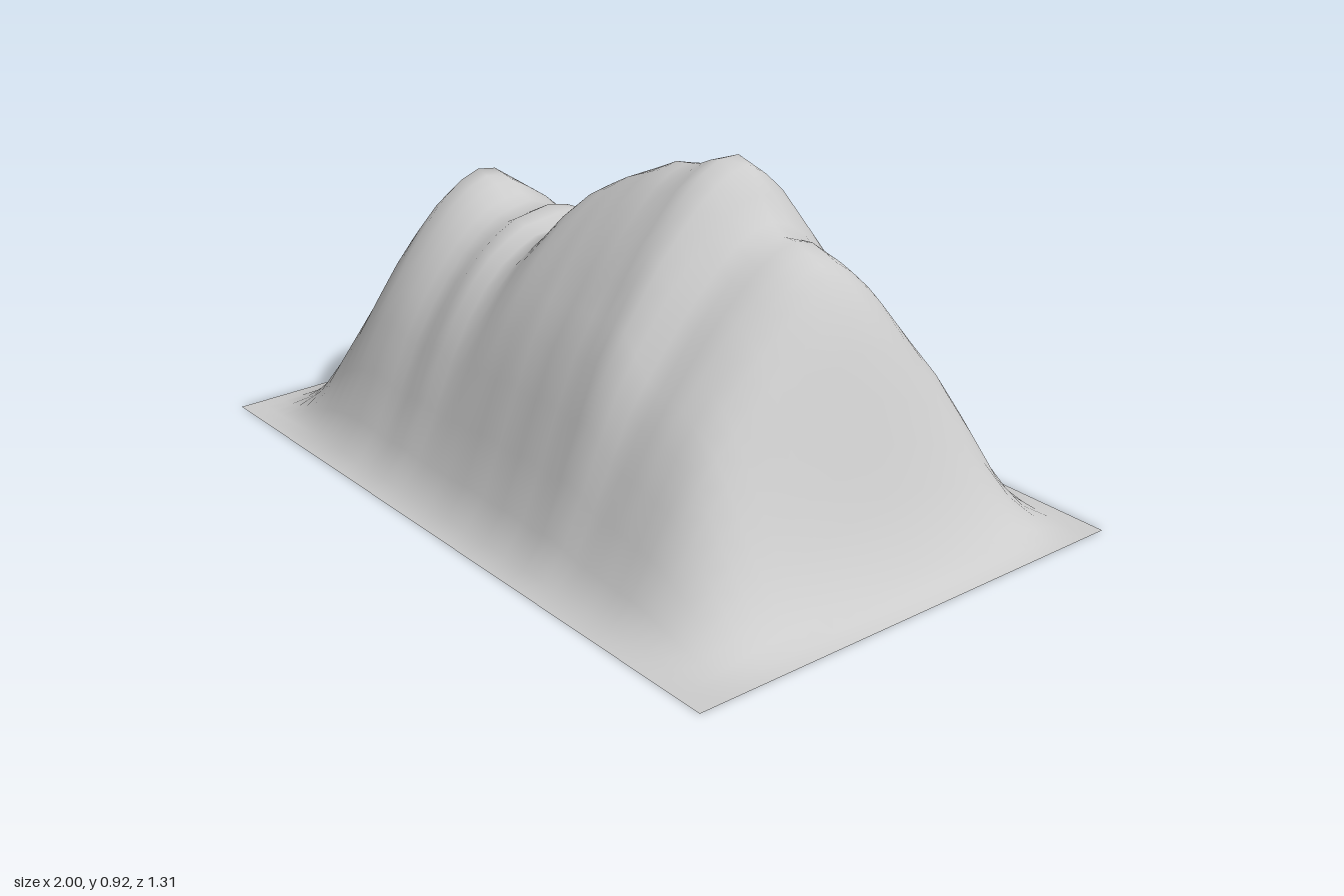
import * as THREE from 'three';

// crest height along x, and normalised cross-slope along z
const crest = [
  [-1, 0], [-0.955, 0.016], [-0.9, 0.085], [-0.835, 0.23], [-0.795, 0.34], [-0.75, 0.455], [-0.71, 0.525],
  [-0.665, 0.61], [-0.62, 0.665], [-0.585, 0.7], [-0.5, 0.68], [-0.46, 0.65], [-0.377, 0.626], [-0.335, 0.647],
  [-0.3, 0.637], [-0.25, 0.615], [-0.21, 0.62], [-0.17, 0.66], [-0.09, 0.765], [0, 0.818], [0.125, 0.877],
  [0.206, 0.888], [0.29, 0.927], [0.33, 0.91], [0.37, 0.85], [0.415, 0.786], [0.45, 0.76], [0.5, 0.76],
  [0.58, 0.727], [0.62, 0.695], [0.665, 0.62], [0.71, 0.53], [0.75, 0.42], [0.795, 0.31], [0.835, 0.2],
  [0.88, 0.118], [0.92, 0.048], [0.955, 0.016], [1, 0],
];
const slope = [
  [-0.655, 0], [-0.603, 0.02], [-0.55, 0.095], [-0.495, 0.225], [-0.44, 0.385], [-0.385, 0.53], [-0.278, 0.7],
  [-0.165, 0.885], [-0.11, 0.945], [-0.055, 0.995], [0, 1], [0.055, 0.975], [0.11, 0.935], [0.165, 0.87],
  [0.22, 0.805], [0.275, 0.72], [0.33, 0.63], [0.385, 0.535], [0.44, 0.39], [0.497, 0.23], [0.55, 0.095],
  [0.6, 0.02], [0.655, 0],
];

// linear lookup in a profile
function sample(profile, t) {
  for (let i = 1; i < profile.length; i++) {
    const [a, ya] = profile[i - 1], [b, yb] = profile[i];
    if (t <= b) return ya + (yb - ya) * Math.max(0, (t - a) / (b - a));
  }
  return 0;
}

export function createModel() {
  const group = new THREE.Group();
  group.name = 'mountain';
  const rock = new THREE.MeshStandardMaterial({ color: 0xcccccc, side: THREE.DoubleSide });
  rock.name = 'pale grey rock';

  // open terrain sheet raised by crest and slope
  const geometry = new THREE.PlaneGeometry(2, 1.31, 48, 24).rotateX(-Math.PI / 2);
  const p = geometry.attributes.position;
  for (let i = 0; i < p.count; i++) {
    const x = p.getX(i), z = p.getZ(i);
    const inner = 1 - x ** 4;
    // the crest line runs diagonally, while the foot stays rectangular
    const crestZ = -0.16 * (x - 0.25) * inner;
    const w = z - crestZ * (1 - (z / 0.655) ** 2) ** 2;
    const across = sample(slope, w);
    // gullies bend slightly as they run down the flanks
    const lean = (0.05 * w - 0.2 * w * w) * inner;
    const gully = 0.007 * Math.sin(38 * x + 3 * z) * Math.sin(Math.PI * across) * inner * inner;
    // the saddle between the two summits fills out lower down
    const fill = 0.1 * Math.exp(-(((x + 0.24) / 0.18) ** 2)) * Math.min(1, Math.abs(w) / 0.3);
    p.setY(i, Math.max(0, (sample(crest, x + lean) + fill) * (across + gully)));
  }
  geometry.computeVertexNormals();

  const terrain = new THREE.Mesh(geometry, rock);
  terrain.name = 'mountainRidge';
  group.add(terrain);
  return group;
}
